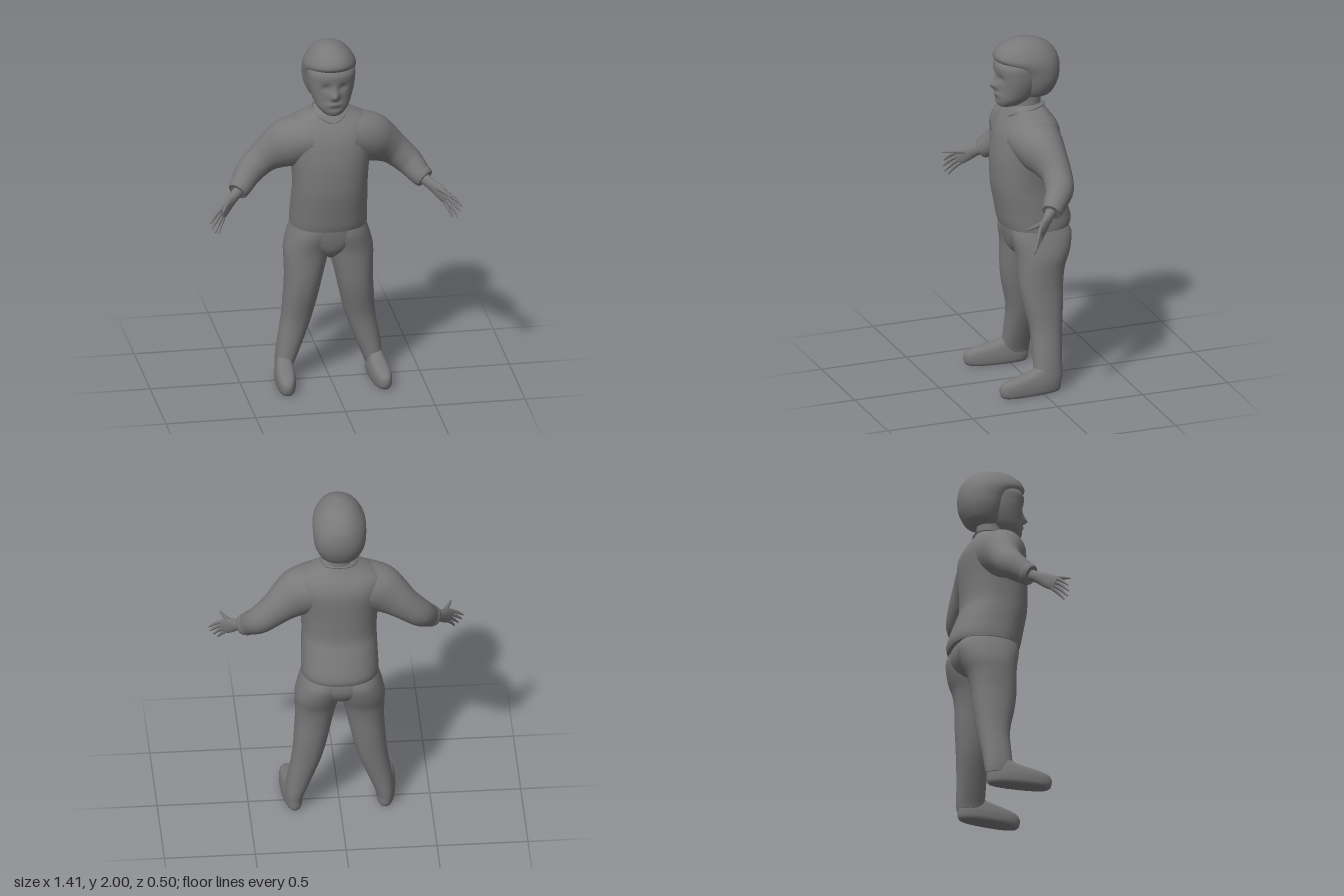
import * as THREE from 'three';

const material = new THREE.MeshStandardMaterial({ color: 0x797979, side: THREE.DoubleSide });

// Catmull-Rom resampling of rows of numbers
function smooth(rows, k) {
  const out = [];
  const at = (i) => rows[Math.min(Math.max(i, 0), rows.length - 1)];
  for (let i = 0; i < rows.length - 1; i++) {
    for (let s = 0; s < k; s++) {
      const t = s / k;
      out.push(rows[i].map((b, c) => {
        const a = at(i - 1)[c], d = at(i + 1)[c], e = at(i + 2)[c];
        return b + 0.5 * t * (d - a + t * (2 * a - 5 * b + 4 * d - e + t * (3 * (b - d) + e - a)));
      }));
    }
  }
  out.push(rows[rows.length - 1]);
  return out;
}

// Skin over closed rings of points, with separate caps so the ends stay crisp
function skin(name, rings) {
  const n = rings[0].length, pos = [], idx = [];
  rings.forEach((r) => r.forEach((p) => pos.push(p.x, p.y, p.z)));
  for (let i = 0; i < rings.length - 1; i++) {
    for (let j = 0; j < n; j++) {
      const a = i * n + j, b = i * n + (j + 1) % n;
      idx.push(a, b, b + n, a, b + n, a + n);
    }
  }
  for (const [ring, flip] of [[rings[0], true], [rings[rings.length - 1], false]]) {
    const base = pos.length / 3, mid = new THREE.Vector3();
    ring.forEach((p) => { pos.push(p.x, p.y, p.z); mid.addScaledVector(p, 1 / n); });
    pos.push(mid.x, mid.y, mid.z);
    for (let j = 0; j < n; j++) {
      const a = base + j, b = base + (j + 1) % n;
      idx.push(base + n, ...(flip ? [b, a] : [a, b]));
    }
  }
  const g = new THREE.BufferGeometry();
  g.setAttribute('position', new THREE.Float32BufferAttribute(pos, 3));
  g.setIndex(idx);
  g.computeVertexNormals();
  const mesh = new THREE.Mesh(g, material);
  mesh.name = name;
  return mesh;
}

// Upright form; rows rise as [y, xMin, xMax, zFront, zBack]; rule may move each point
function stack(name, rows, { power = 2, n = 28, k = 3, rule = () => {} } = {}) {
  const bend = (v) => Math.sign(v) * Math.abs(v) ** (2 / power);
  const rings = smooth(rows, k).map(([y, x0, x1, zf, zb]) => Array.from({ length: n }, (_, j) => {
    const a = (j / n) * Math.PI * 2;
    const p = new THREE.Vector3((x0 + x1) / 2 + bend(Math.cos(a)) * (x1 - x0) / 2, y,
      (zf + zb) / 2 - bend(Math.sin(a)) * (zf - zb) / 2);
    rule(p);
    return p;
  }));
  return skin(name, rings);
}

// Form along a path; rows are [x, y, z, half height, half width]
function limb(name, rows, n = 18) {
  const pts = smooth(rows, 3), c = pts.map((p) => new THREE.Vector3(p[0], p[1], p[2]));
  const rings = pts.map((p, i) => {
    const t = c[Math.min(i + 1, c.length - 1)].clone().sub(c[Math.max(i - 1, 0)]).normalize();
    const v = new THREE.Vector3(0, 1, 0).addScaledVector(t, -t.y).normalize();
    const w = t.clone().cross(v);
    return Array.from({ length: n }, (_, j) => {
      const a = (j / n) * Math.PI * 2;
      return c[i].clone().addScaledVector(v, p[3] * Math.cos(a)).addScaledVector(w, p[4] * Math.sin(a));
    });
  });
  return skin(name, rings);
}

const even = (rows) => rows.map(([y, hw, zf, zb]) => [y, -hw, hw, zf, zb]);
const bump = (p, x, y, sx, sy) => Math.exp(-(((p.x - x) / sx) ** 2) - ((p.y - y) / sy) ** 2);

// Eye sockets, nose and lips
function sculptFace(p) {
  if (p.z < 0.06) return;
  const eyes = bump(p, 0.045, 1.785, 0.026, 0.02) + bump(p, -0.045, 1.785, 0.026, 0.02);
  p.z += 0.032 * bump(p, 0, 1.735, 0.02, 0.022) + 0.015 * bump(p, 0, 1.765, 0.015, 0.03)
    + 0.01 * bump(p, 0, 1.688, 0.035, 0.01) - 0.006 * bump(p, 0, 1.66, 0.04, 0.01) - 0.012 * eyes;
}

function addSide(group, s) {
  const side = new THREE.Group();
  side.name = s > 0 ? 'leftLimbs' : 'rightLimbs';
  const m = (rows) => rows.map(([x, ...r]) => [s * x, ...r]);
  const flip = (rows) => rows.map(([y, a, b, f, k]) => (s > 0 ? [y, a, b, f, k] : [y, -b, -a, f, k]));
  side.add(stack('trouserLeg', flip([
    [0.06, 0.203, 0.297, 0.034, -0.12], [0.1, 0.19, 0.298, 0.036, -0.125], [0.2, 0.15, 0.287, 0.034, -0.13],
    [0.35, 0.095, 0.262, 0.036, -0.145], [0.5, 0.058, 0.25, 0.07, -0.16], [0.6, 0.037, 0.245, 0.085, -0.165],
    [0.7, 0.012, 0.247, 0.09, -0.18], [0.78, -0.01, 0.246, 0.095, -0.212], [0.88, -0.03, 0.218, 0.115, -0.23],
    [0.96, -0.03, 0.185, 0.1, -0.18],
  ]), { power: 2.2 }));

  // Shoe, turned slightly outward
  side.add(stack('shoe', flip([
    [0, 0.214, 0.306, 0.232, -0.106], [0.015, 0.206, 0.314, 0.246, -0.114], [0.05, 0.204, 0.316, 0.25, -0.117],
    [0.08, 0.208, 0.312, 0.232, -0.117], [0.102, 0.213, 0.306, 0.165, -0.114], [0.12, 0.218, 0.3, 0.085, -0.108],
    [0.14, 0.224, 0.294, 0.03, -0.095],
  ]), { power: 2.4, rule: (p) => { p.x += s * 0.07 * (p.z - 0.07); } }));

  // Sleeve from inside the shoulder to the cuff
  side.add(limb('sleeve', m([
    [0.1, 1.45, 0, 0.125, 0.15], [0.17, 1.43, -0.008, 0.134, 0.142], [0.235, 1.402, -0.018, 0.137, 0.126],
    [0.3, 1.362, -0.035, 0.114, 0.1], [0.365, 1.312, -0.047, 0.09, 0.084], [0.435, 1.25, -0.036, 0.079, 0.08],
    [0.475, 1.207, -0.002, 0.07, 0.068], [0.5, 1.178, 0.026, 0.062, 0.06], [0.52, 1.161, 0.044, 0.054, 0.05]]), 24));
  side.add(limb('cuff', m([[0.497, 1.183, 0.02, 0.058, 0.056], [0.508, 1.172, 0.031, 0.063, 0.06],
    [0.523, 1.159, 0.046, 0.056, 0.053]])));

  // Hand with four fingers and a thumb
  side.add(limb('palm', m([
    [0.49, 1.18, 0.02, 0.036, 0.034], [0.545, 1.143, 0.072, 0.032, 0.026], [0.585, 1.113, 0.11, 0.04, 0.019],
    [0.615, 1.088, 0.14, 0.042, 0.015], [0.632, 1.076, 0.154, 0.034, 0.01]])));
  [[0.7, 1.045, 0.2], [0.692, 1.015, 0.207], [0.672, 0.992, 0.207], [0.652, 0.98, 0.195]].forEach((tip, i) => {
    const u = 0.03 - i * 0.02;
    const base = [0.62 + u * 0.31, 1.084 + u * 0.89, 0.145 + u * 0.31];
    const mid = base.map((b, c) => (b + tip[c]) / 2 + (c === 1 ? 0.005 : 0));
    side.add(limb('finger', m([[...base, 0.011, 0.01], [...mid, 0.009, 0.009], [...tip, 0.004, 0.004]]), 8));
  });
  side.add(limb('thumb', m([[0.57, 1.128, 0.095, 0.018, 0.014], [0.608, 1.125, 0.165, 0.012, 0.012],
    [0.635, 1.12, 0.237, 0.005, 0.005]]), 8));
  group.add(side);
}

export function createModel() {
  const group = new THREE.Group();
  group.name = 'standingBoy';

  group.add(stack('sweater', even([
    [0.915, 0.212, 0.136, -0.243], [0.95, 0.213, 0.147, -0.249], [1.02, 0.21, 0.16, -0.228], [1.1, 0.208, 0.175, -0.198],
    [1.17, 0.206, 0.184, -0.175], [1.3, 0.216, 0.185, -0.175], [1.4, 0.235, 0.17, -0.18], [1.47, 0.25, 0.15, -0.176],
    [1.525, 0.24, 0.12, -0.155], [1.565, 0.18, 0.09, -0.125], [1.595, 0.115, 0.07, -0.105], [1.615, 0.075, 0.05, -0.095],
  ]), { power: 2.3, n: 36 }));
  group.add(stack('trouserSeat', even([
    [0.73, 0.025, 0.05, -0.1], [0.78, 0.1, 0.096, -0.19], [0.86, 0.185, 0.116, -0.228], [0.96, 0.19, 0.125, -0.21],
  ]), { power: 2.5 }));

  // Neckline dipping at the front
  const ring = [[0, 1.548, 0.098], [0.06, 1.575, 0.08], [0.1, 1.602, 0], [0.07, 1.613, -0.08], [0, 1.615, -0.1],
    [-0.07, 1.613, -0.08], [-0.1, 1.602, 0], [-0.06, 1.575, 0.08]].map((p) => new THREE.Vector3(...p));
  const collar = new THREE.Mesh(
    new THREE.TubeGeometry(new THREE.CatmullRomCurve3(ring, true), 40, 0.006, 8, true), material);
  collar.name = 'collar';
  group.add(collar);

  group.add(stack('neck', even([[1.53, 0.08, 0.07, -0.1], [1.62, 0.07, 0.066, -0.09], [1.72, 0.07, 0.07, -0.09]])));
  group.add(stack('face', even([
    [1.612, 0.035, 0.145, 0.06], [1.625, 0.06, 0.16, 0.02], [1.66, 0.09, 0.17, -0.03], [1.7, 0.108, 0.167, -0.06],
    [1.75, 0.123, 0.166, -0.08], [1.8, 0.131, 0.17, -0.09], [1.86, 0.13, 0.172, -0.1], [1.92, 0.09, 0.13, -0.1],
  ]), { power: 2.15, n: 64, k: 6, rule: sculptFace }));

  // Short hair: a soft fringe over the brow, full at the sides and back
  group.add(stack('hair', even([
    [1.662, 0.075, 0.01, -0.118], [1.685, 0.108, 0.04, -0.153], [1.75, 0.137, 0.06, -0.185], [1.81, 0.145, 0.085, -0.195],
    [1.85, 0.147, 0.125, -0.193], [1.88, 0.144, 0.168, -0.187], [1.905, 0.135, 0.179, -0.176], [1.94, 0.113, 0.162, -0.15],
    [1.97, 0.083, 0.122, -0.108], [1.99, 0.047, 0.08, -0.055], [2, 0.008, 0.035, 0.015],
  ]), { power: 2.1, n: 40 }));

  addSide(group, 1);
  addSide(group, -1);
  return group;
}
